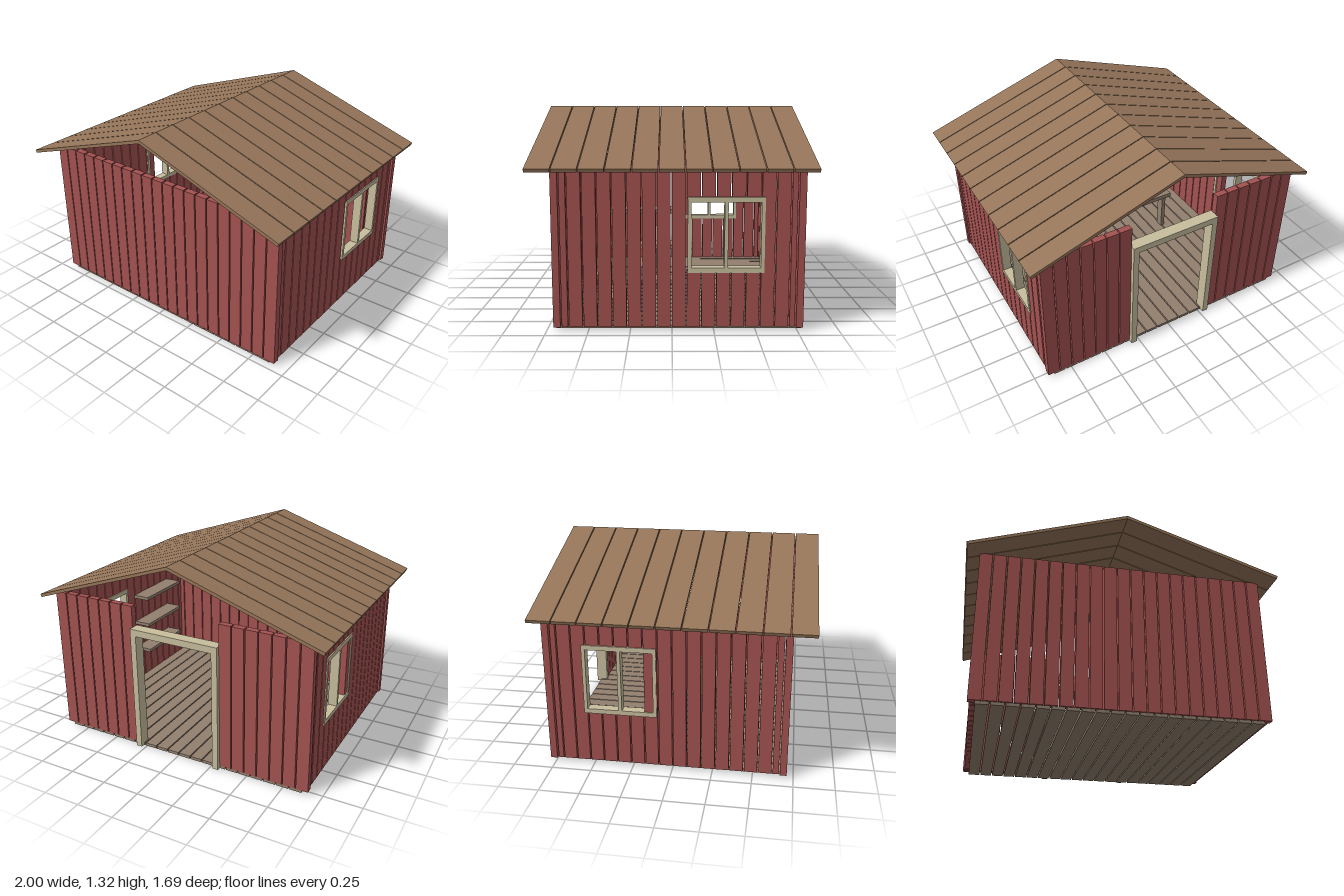
import * as THREE from 'three';

const mat = (color) => new THREE.MeshStandardMaterial({ color, flatShading: true });

export function createModel() {
  const model = new THREE.Group();
  const red = mat(0xa35250), roofWood = mat(0x96765a), floorWood = mat(0x92806f), trim = mat(0xc8be9e);

  const group = (name) => {
    const g = new THREE.Group();
    g.name = name;
    model.add(g);
    return g;
  };
  // Box given by its lower and upper bounds on each axis
  const slab = (parent, name, material, [x0, x1], [y0, y1], [z0, z1]) => {
    const mesh = new THREE.Mesh(new THREE.BoxGeometry(x1 - x0, y1 - y0, z1 - z0), material);
    mesh.position.set((x0 + x1) / 2, (y0 + y1) / 2, (z0 + z1) / 2);
    mesh.name = name;
    parent.add(mesh);
  };

  const pitch = 0.0876, gap = 0.004;
  const wallBottom = 0.02, wallTop = 0.998;

  // Floor planks, running front to back
  const floor = group('floor');
  for (let i = -10; i < 10; i++) {
    slab(floor, 'floorPlank', floorWood,
      [i * pitch + gap, (i + 1) * pitch - gap], [0, 0.02], [-0.78, 0.7]);
  }

  // Front and back walls; the back one leaves the doorway open to the top
  const frontWall = group('frontWall'), backWall = group('backWall');
  for (let i = -10; i <= 10; i++) {
    const xs = [(i - 0.5) * pitch + gap, (i + 0.5) * pitch - gap];
    slab(frontWall, 'wallBoard', red, xs, [wallBottom, wallTop], [0.668, 0.71]);
    if (Math.abs(i) > 3) slab(backWall, 'wallBoard', red, xs, [wallBottom, wallTop], [-0.785, -0.743]);
  }

  // Side walls with boards cut short above and below each window
  const edges = [0.665];
  for (let i = 0; i <= 15; i++) edges.push(0.62 - i * 0.088);
  edges.push(-0.74);
  for (const side of [1, -1]) {
    const wall = group(side > 0 ? 'leftWall' : 'rightWall');
    const xs = side > 0 ? [0.862, 0.905] : [-0.905, -0.862];
    const openingStart = side > 0 ? -0.08 : -0.17;
    for (let i = 0; i < edges.length - 1; i++) {
      const zs = [edges[i + 1] + gap, edges[i] - gap];
      const mid = (zs[0] + zs[1]) / 2;
      if (mid < openingStart && mid > -0.525) {
        slab(wall, 'boardBelowWindow', red, xs, [wallBottom, 0.365], zs);
        slab(wall, 'boardAboveWindow', red, xs, [0.795, wallTop], zs);
      } else {
        slab(wall, 'wallBoard', red, xs, [wallBottom, wallTop], zs);
      }
    }

    // Window frame with a centre mullion
    const frame = group(side > 0 ? 'leftWindow' : 'rightWindow');
    const fx = side > 0 ? [0.853, 0.912] : [-0.912, -0.853];
    slab(frame, 'windowSill', trim, fx, [0.355, 0.385], [-0.547, -0.092]);
    slab(frame, 'windowHead', trim, fx, [0.777, 0.807], [-0.547, -0.092]);
    for (const z of [-0.536, -0.32, -0.103]) {
      slab(frame, 'windowUpright', trim, fx, [0.385, 0.777], [z - 0.011, z + 0.011]);
    }
  }

  // Door frame
  const door = group('doorFrame');
  const dz = [-0.812, -0.735];
  slab(door, 'doorPost', trim, [-0.312, -0.272], [0.005, 0.81], dz);
  slab(door, 'doorPost', trim, [0.272, 0.312], [0.005, 0.81], dz);
  slab(door, 'doorLintel', trim, [-0.312, 0.312], [0.81, 0.855], dz);

  // Shelves on the inside of the left wall
  const shelves = group('shelves');
  for (const y of [0.285, 0.5, 0.715]) {
    slab(shelves, 'shelf', floorWood, [0.74, 0.862], [y - 0.012, y + 0.012], [0, 0.45]);
  }

  // Bench
  const bench = group('bench');
  slab(bench, 'benchSeat', floorWood, [-0.57, 0.13], [0.32, 0.352], [0.08, 0.22]);
  for (const x of [-0.53, 0.09]) {
    slab(bench, 'benchLeg', floorWood, [x - 0.015, x + 0.015], [0.02, 0.32], [0.11, 0.17]);
  }

  // Gabled roof: chevron planks laid from front to back
  const chevron = new THREE.Shape([
    [1, 0.983], [0, 1.317], [-1, 0.983], [-0.993, 0.963], [0, 1.295], [0.993, 0.963],
  ].map(([x, y]) => new THREE.Vector2(x, y)));
  const roof = group('roof');
  const roofPitch = 0.154, roofGap = 0.006;
  const plank = new THREE.ExtrudeGeometry(chevron, { depth: roofPitch - roofGap, bevelEnabled: false });
  for (let i = 0; i < 11; i++) {
    const mesh = new THREE.Mesh(plank, roofWood);
    mesh.name = 'roofPlank';
    mesh.position.z = (i - 5.5) * roofPitch + roofGap / 2;
    roof.add(mesh);
  }

  return model;
}
